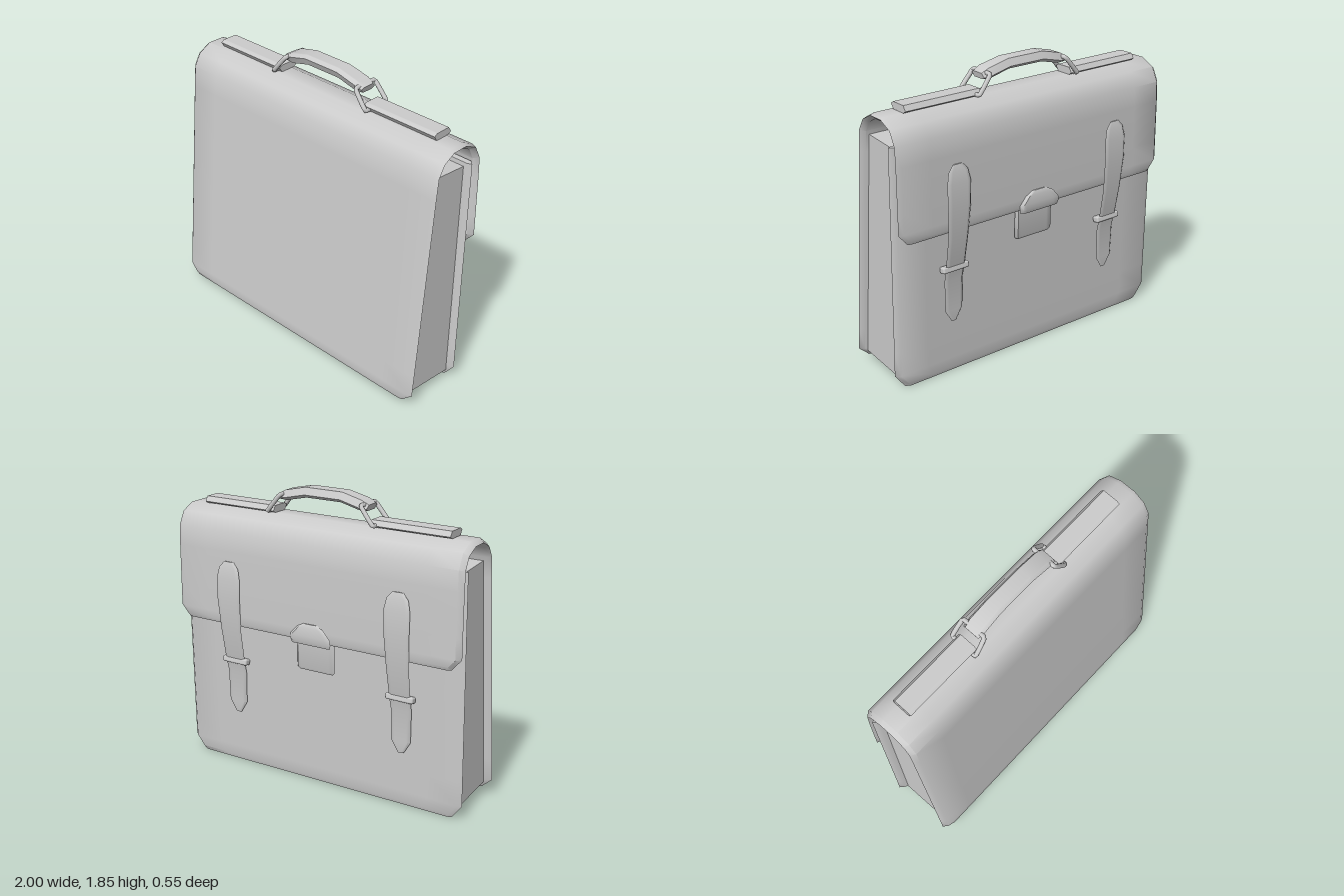
import * as THREE from 'three';
import { toCreasedNormals } from 'three/addons/utils/BufferGeometryUtils.js';
import { RoundedBoxGeometry } from 'three/addons/geometries/RoundedBoxGeometry.js';

const leather = new THREE.MeshStandardMaterial({ color: 0xcccccc });

// Padded strip swept along a path in x/y and centred on z.
// Each station is [x, y, halfWidth, thicknessFactor = 1].
function strip(stations, thickness, bevel) {
  const pos = [], index = [];
  const pts = stations.map(s => new THREE.Vector2(s[0], s[1]));
  const last = pts.length - 1;
  let count = 0;
  stations.forEach(([x, y, w, f = 1], i) => {
    const a = pts[i].clone().sub(pts[Math.max(i - 1, 0)]).normalize();
    const b = pts[Math.min(i + 1, last)].clone().sub(pts[i]).normalize();
    const d = a.add(b).normalize();
    const h = thickness * f / 2, e = w - bevel, m = e * 0.8;
    const half = [[-e, h], [-m, h], [m, h], [e, h], [w, h * 0.4]];
    const loop = [...half, ...half.map(([p, q]) => [-p, -q])];
    count = loop.length;
    for (const [p, n] of loop) pos.push(x - d.y * n, y + d.x * n, p);
  });
  for (let i = 0; i < last; i++) {
    for (let j = 0; j < count; j++) {
      const k = (j + 1) % count, r = i * count, s = r + count;
      index.push(r + j, r + k, s + j, r + k, s + k, s + j);
    }
  }
  const end = last * count;
  for (let j = 1; j < count - 1; j++) index.push(0, j + 1, j, end, end + j, end + j + 1);
  const g = new THREE.BufferGeometry();
  g.setAttribute('position', new THREE.Float32BufferAttribute(pos, 3));
  g.setIndex(index);
  return toCreasedNormals(g, 0.75);
}

// Same strip with stations given as [z, y, halfWidth, thicknessFactor], width along x
const panel = (...args) => strip(...args).rotateY(-Math.PI / 2);

export function createModel() {
  const group = new THREE.Group();
  const add = (name, geometry, x = 0, y = 0, z = 0) => {
    const mesh = new THREE.Mesh(geometry, leather);
    mesh.name = name;
    mesh.position.set(x, y, z);
    group.add(mesh);
    return mesh;
  };

  // Leaning panel that wraps over the top and ends as the closing flap
  add('coverAndFlap', panel([
    [0.255, 0.045, 0.93, 0.6], [0.253, 0.065, 0.95], [0.249, 0.11, 1], [0.236, 0.25, 1],
    [0.128, 1.42, 1], [0.115, 1.55, 1], [0.074, 1.62, 1], [0, 1.66, 1], [-0.1, 1.66, 1],
    [-0.183, 1.62, 1], [-0.223, 1.54, 1], [-0.227, 1.42, 1], [-0.228, 1.15, 1],
    [-0.228, 1.025, 1], [-0.228, 0.975, 0.955], [-0.228, 0.955, 0.94, 0.6],
  ], 0.036, 0.03));

  // Upright panel under the flap
  add('pocketPanel', panel([
    [-0.145, 0.005, 0.93, 0.6], [-0.145, 0.03, 0.95], [-0.147, 0.095, 1], [-0.15, 0.25, 1],
    [-0.172, 1.4, 1], [-0.174, 1.525, 1],
  ], 0.038, 0.03));

  // Wedge-shaped body between the two panels
  const side = new THREE.Shape([[0.24, 0.09], [0.1, 1.52], [-0.16, 1.497], [-0.14, 0.05]]
    .map(([z, y]) => new THREE.Vector2(z, y)));
  add('gussetBody', new THREE.ExtrudeGeometry(side, { depth: 1.9, bevelEnabled: false })
    .rotateY(-Math.PI / 2).translate(0.95, 0, 0));

  // Carrying handle
  add('handle', strip([
    [-0.31, 1.785, 0.058, 0.6], [-0.26, 1.797, 0.065], [-0.13, 1.828, 0.062],
    [0.12, 1.828, 0.062], [0.26, 1.797, 0.065], [0.31, 1.785, 0.058, 0.6],
  ], 0.062, 0.02), 0, 0, -0.068);

  for (const s of [1, -1]) {
    const label = s > 0 ? 'left' : 'right';

    // Pad on the top that holds the handle ring
    add(label + 'HandlePad', strip([
      [-0.26, 0, 0.07], [-0.2, 0, 0.07], [0.2, 0, 0.07], [0.26, 0, 0.07],
    ], 0.044, 0.02), s * 0.6, 1.702, -0.068);

    // Handle ring
    const ring = [[0.37, 1.695, 0.018], [0.285, 1.8, 0.01], [0.285, 1.8, -0.148], [0.37, 1.695, -0.156]]
      .map(([x, y, z]) => new THREE.Vector3(s * x, y, z));
    const curve = new THREE.CatmullRomCurve3(ring, true, 'catmullrom', 0.08);
    add(label + 'HandleRing', new THREE.TubeGeometry(curve, 48, 0.014, 8, true));

    // Closing strap with rounded head and pointed tip
    add(label + 'Strap', panel([
      [-0.252, 1.365, 0.035, 0.6], [-0.258, 1.325, 0.07], [-0.265, 1.255, 0.085],
      [-0.266, 1.12, 0.083], [-0.248, 0.92, 0.074], [-0.212, 0.715, 0.07],
      [-0.192, 0.63, 0.068], [-0.188, 0.43, 0.064], [-0.187, 0.355, 0.018, 0.6],
    ], 0.018, 0.015), s * 0.6);

    // Strap keeper
    const keeper = add(label + 'StrapKeeper',
      new RoundedBoxGeometry(0.185, 0.04, 0.05, 2, 0.012), s * 0.6, 0.71, -0.203);
    keeper.rotation.x = 0.2;
  }

  // Clasp: domed tab on the flap above a flat plate
  add('claspTab', panel([
    [-0.25, 0.935, 0.14, 0.6], [-0.254, 0.96, 0.148], [-0.254, 0.99, 0.145],
    [-0.253, 1.04, 0.1], [-0.249, 1.065, 0.05, 0.6],
  ], 0.022, 0.02));
  add('claspPlate', panel([
    [-0.19, 0.75, 0.125, 0.6], [-0.191, 0.765, 0.138], [-0.196, 0.965, 0.138],
  ], 0.024, 0.015));

  return group;
}
